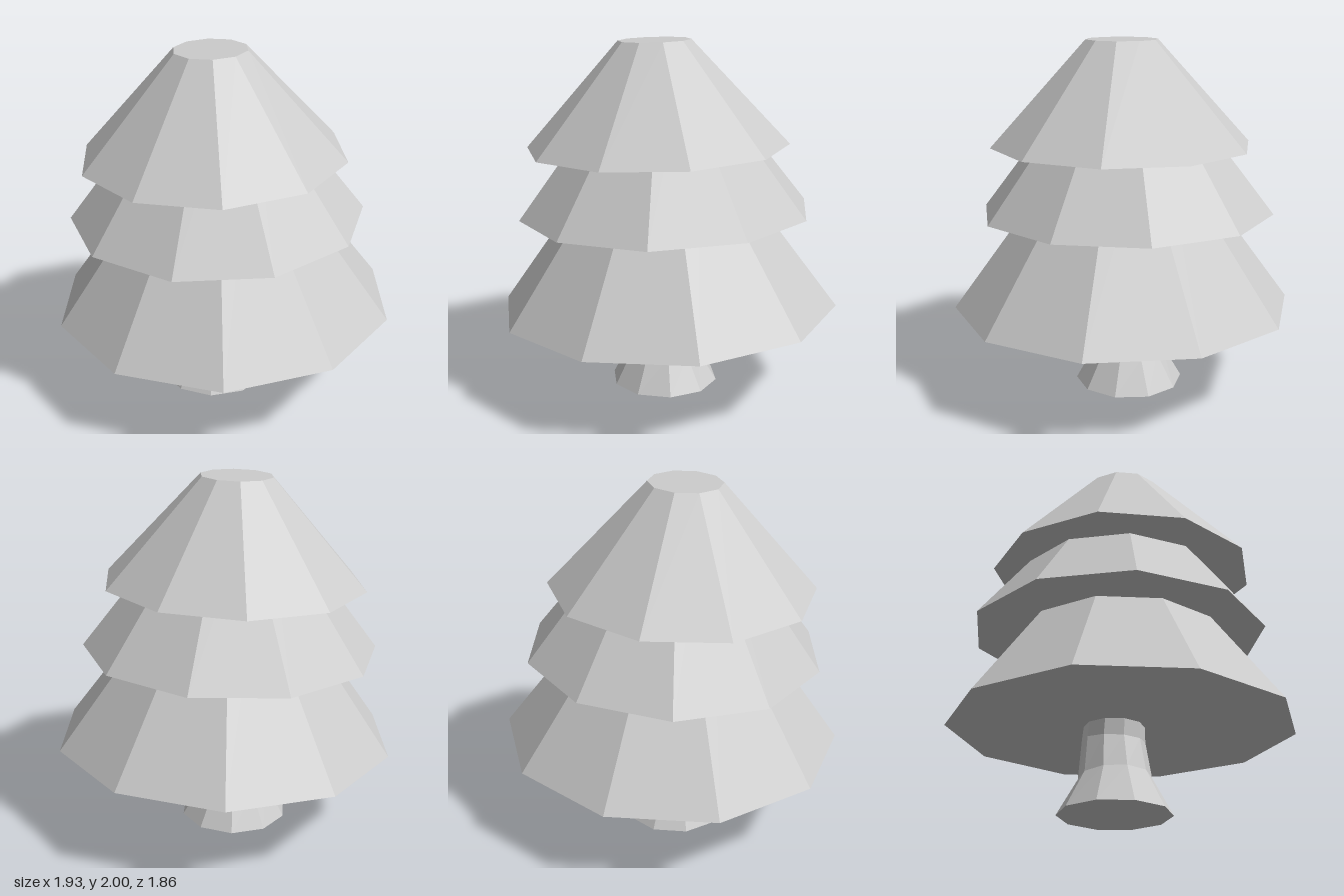
import * as THREE from 'three';

const SIDES = 10;
const material = new THREE.MeshStandardMaterial({ color: 0xcccccc, flatShading: true });

// One tilted ten-sided ring: centre x, y, z, radius, turn in degrees, slope along x and z
function ring([x, y, z, r, turn = 0, slopeX = 0, slopeZ = 0]) {
  return Array.from({ length: SIDES }, (_, i) => {
    const a = THREE.MathUtils.degToRad(turn) + (i / SIDES) * Math.PI * 2;
    const dx = Math.cos(a) * r;
    const dz = Math.sin(a) * r;
    return [x + dx, y + dx * slopeX + dz * slopeZ, z + dz];
  });
}

// Closed faceted solid through rings listed from bottom to top
function loft(name, specs) {
  const rings = specs.map(ring);
  const out = [];
  const tri = (...points) => points.forEach((p) => out.push(...p));
  const last = rings.length - 1;
  const bottomCentre = specs[0].slice(0, 3);
  const topCentre = specs[last].slice(0, 3);
  for (let i = 0; i < SIDES; i++) {
    const j = (i + 1) % SIDES;
    for (let k = 0; k < last; k++) {
      const low = rings[k];
      const high = rings[k + 1];
      tri(low[i], high[i], low[j]);
      tri(high[i], high[j], low[j]);
    }
    tri(bottomCentre, rings[0][i], rings[0][j]);
    tri(topCentre, rings[last][j], rings[last][i]);
  }
  const geometry = new THREE.BufferGeometry();
  geometry.setAttribute('position', new THREE.Float32BufferAttribute(out, 3));
  geometry.computeVertexNormals();
  const mesh = new THREE.Mesh(geometry, material);
  mesh.name = name;
  return mesh;
}

export function createModel() {
  const tree = new THREE.Group();
  tree.name = 'tree';

  // Bent trunk with a flared foot, its top hidden in the foliage
  tree.add(loft('trunk', [
    [-0.03, 0, -0.05, 0.31],
    [-0.03, 0.2, -0.05, 0.197, 0, -0.09],
    [-0.005, 0.415, -0.05, 0.172, 0, 0.1],
    [-0.03, 0.58, -0.05, 0.16, 0, 0.1],
  ]));

  // Three slightly tilted and twisted foliage tiers
  tree.add(loft('lowerFoliage', [
    [0, 0.493, 0, 0.964, -3, 0.028, 0.006],
    [-0.025, 1.45, -0.01, 0.26, -3, 0.028, 0.006],
  ]));
  tree.add(loft('middleFoliage', [
    [-0.02, 1.037, -0.03, 0.83, 12.5, 0.03, 0.006],
    [-0.035, 1.82, -0.03, 0.227, 12.5, 0.03, 0.006],
  ]));
  tree.add(loft('upperFoliage', [
    [-0.065, 1.408, -0.02, 0.74, -7, 0.03, 0.01],
    [-0.08, 1.994, -0.025, 0.203, -7, 0.03, 0.01],
  ]));

  return tree;
}
